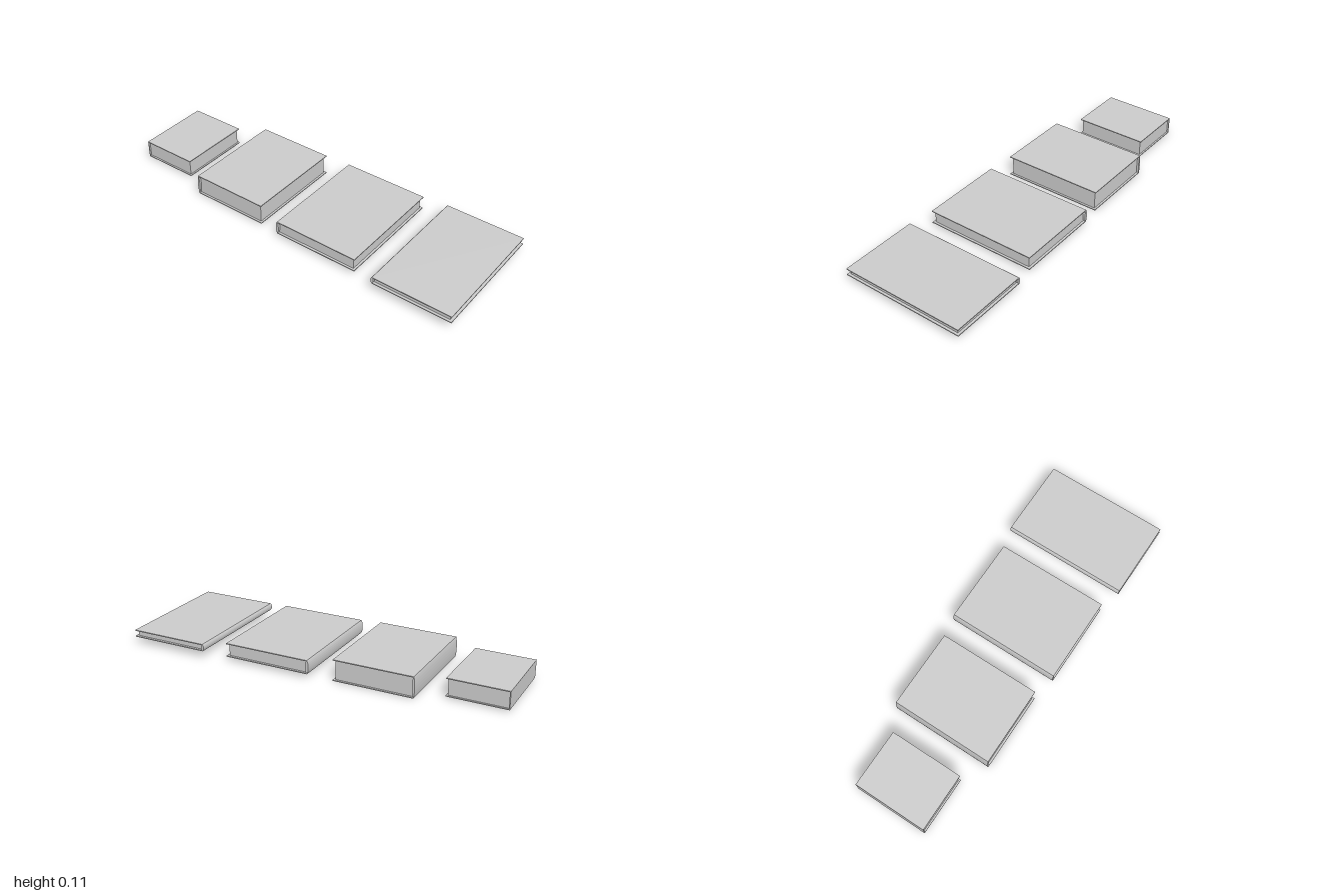
import * as THREE from 'three';

const material = new THREE.MeshStandardMaterial({ color: 0xcccccc, flatShading: true });
const MID_Y = 0.056;      // all books share one mid height
const BOARD = 0.005;      // cover thickness

// x0: hinge edge of the boards, x1: fore edge, h: thickness, d: length along z,
// bulge: how far the spine swells past the boards (0 = flat spine)
const BOOKS = [
  { name: 'smallBook', x0: -1.0, x1: -0.69, h: 0.095, d: 0.396, bulge: 0, inset: 0.009 },
  { name: 'thickBook', x0: -0.56, x1: -0.138, h: 0.112, d: 0.546, bulge: 0.006, inset: 0.011 },
  { name: 'mediumBook', x0: -0.012, x1: 0.452, h: 0.073, d: 0.604, bulge: 0.008, inset: 0.012 },
  { name: 'thinBook', x0: 0.575, x1: 1.0, h: 0.038, d: 0.672, bulge: 0.008, inset: 0.013 },
];

function box(name, x0, x1, y, h, d) {
  const mesh = new THREE.Mesh(new THREE.BoxGeometry(x1 - x0, h, d), material);
  mesh.name = name;
  mesh.position.set((x0 + x1) / 2, y, 0);
  return mesh;
}

// Lens-shaped rounded spine, extruded along the book's length
function roundedSpine({ x0, h, d, bulge }) {
  const half = h / 2;
  const shape = new THREE.Shape();
  shape.moveTo(x0, half);
  shape.bezierCurveTo(x0 - bulge * 1.33, half * 0.6, x0 - bulge * 1.33, -half * 0.6, x0, -half);
  shape.lineTo(x0 + 0.004, -half + BOARD);
  shape.quadraticCurveTo(x0 + 0.012, 0, x0 + 0.004, half - BOARD);
  const geometry = new THREE.ExtrudeGeometry(shape, { depth: d, bevelEnabled: false, curveSegments: 8 });
  geometry.translate(0, 0, -d / 2);
  const mesh = new THREE.Mesh(geometry, material);
  mesh.name = 'spine';
  return mesh;
}

function makeBook(book) {
  const { name, x0, x1, h, d, bulge, inset } = book;
  const group = new THREE.Group();
  group.name = name;
  group.position.y = MID_Y;

  // Front and back boards
  for (const side of [1, -1]) {
    group.add(box(side > 0 ? 'topCover' : 'bottomCover', x0, x1, side * (h - BOARD) / 2, BOARD, d));
  }
  // Page block, set back from the boards on three sides
  group.add(box('pages', x0 + 0.004, x1 - inset, 0, h - 2 * BOARD, d - 2 * inset));
  // Spine
  group.add(bulge ? roundedSpine(book) : box('spine', x0, x0 + BOARD, 0, h - 2 * BOARD, d));
  return group;
}

export function createModel() {
  const model = new THREE.Group();
  model.name = 'books';
  for (const book of BOOKS) model.add(makeBook(book));
  return model;
}
